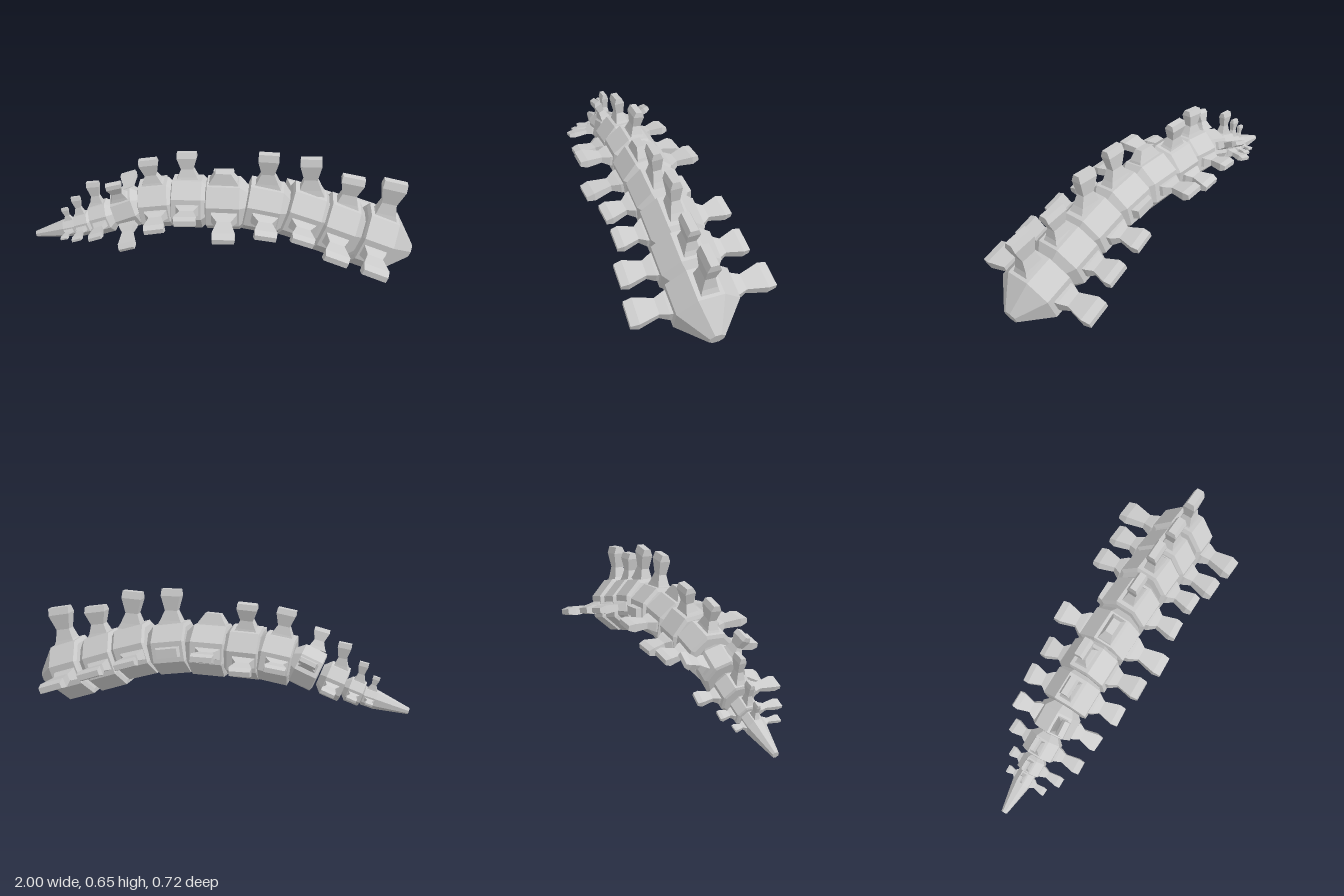
import * as THREE from 'three';

const material = new THREE.MeshStandardMaterial({ color: 0xcccccc, flatShading: true });
const V = (x, y, z) => new THREE.Vector3(x, y, z);

// One entry per vertebra, from the blunt front end to the tail.
// c: centre, slope: axis angle in degrees, r: radius, h: half length,
// spine: tip of the upper blade, back / front: [x, z] of the side wing tips
const VERTEBRAE = [
  { c: [0.79, 0.175], slope: -20, r: 0.153, h: 0.077, spine: [0.88, 0.51, 0.01], back: [0.775, -0.36], front: [0.775, 0.35] },
  { c: [0.595, 0.24], slope: -20, r: 0.147, h: 0.077, spine: [0.67, 0.53, 0.015], back: [0.585, -0.31], front: [0.585, 0.33] },
  { c: [0.42, 0.31], slope: -18, r: 0.135, h: 0.083, spine: [0.452, 0.625, 0.015], back: [0.39, -0.30], front: [0.42, 0.29] },
  { c: [0.218, 0.342], slope: -10, r: 0.13, h: 0.084, spine: [0.243, 0.648, 0.03], back: [0.215, -0.16], front: [0.24, 0.29] },
  { c: [0.017, 0.35], slope: 0, r: 0.13, h: 0.084, spine: [0.015, 0.537, 0.025], back: [-0.005, -0.29], front: [0.035, 0.325] },
  { c: [-0.167, 0.352], slope: 1, r: 0.127, h: 0.075, spine: [-0.175, 0.615, -0.03], back: [-0.19, -0.26], front: [-0.155, 0.30] },
  { c: [-0.332, 0.335], slope: 8, r: 0.12, h: 0.074, spine: [-0.37, 0.59, 0.015], back: [-0.36, -0.25], front: [-0.31, 0.275] },
  { c: [-0.485, 0.295], slope: 22, r: 0.1, h: 0.057, spine: [-0.54, 0.48, 0.09], back: [-0.515, -0.21], front: [-0.46, 0.23] },
  { c: [-0.625, 0.237], slope: 19, r: 0.083, h: 0.047, spine: [-0.667, 0.442, 0], back: [-0.61, -0.19], front: [-0.62, 0.23] },
  { c: [-0.728, 0.193], slope: 18, r: 0.06, h: 0.036, spine: [-0.765, 0.35, 0], back: [-0.72, -0.13], front: [-0.73, 0.18] },
  { c: [-0.80, 0.167], slope: 15, r: 0.045, h: 0.032, spine: [-0.83, 0.28, 0], back: [-0.805, -0.10], front: [-0.81, 0.13] },
];

// Lofts rectangles from base to tip; rows are [fraction, half width along axis, half thickness]
function loft(name, base, tip, axis, rows) {
  const w = tip.clone().sub(base).normalize();
  const u = axis.clone().addScaledVector(w, -axis.dot(w)).normalize();
  const v = w.clone().cross(u);
  const pos = [], index = [];
  for (const [t, a, b] of rows) {
    for (const [i, j] of [[1, 1], [-1, 1], [-1, -1], [1, -1]]) {
      const p = base.clone().lerp(tip, t).addScaledVector(u, a * i).addScaledVector(v, b * j);
      pos.push(p.x, p.y, p.z);
    }
  }
  for (let r = 0; r < rows.length - 1; r++) {
    for (let j = 0; j < 4; j++) {
      const a = r * 4 + j, b = r * 4 + (j + 1) % 4;
      index.push(a, b, b + 4, a, b + 4, a + 4);
    }
  }
  const e = (rows.length - 1) * 4;
  index.push(e, e + 1, e + 2, e, e + 2, e + 3, 2, 1, 0, 3, 2, 0);
  const geo = new THREE.BufferGeometry();
  geo.setAttribute('position', new THREE.Float32BufferAttribute(pos, 3));
  geo.setIndex(index);
  geo.computeVertexNormals();
  const mesh = new THREE.Mesh(geo, material);
  mesh.name = name;
  return mesh;
}

// Eight-sided body with a tapered front; first and last entries get long cones
function bodyMesh({ c, slope, r, h }, roll, first, last) {
  const R = r / Math.cos(Math.PI / 8);
  const backEnd = last ? [0.016, -0.202] : [R * 0.85, -h - r * 0.05];
  const frontEnd = first ? [0.04, 0.209] : [R * 0.6, h + r * 0.42];
  const profile = [[0, backEnd[1]], backEnd, [R, -h], [R, h], frontEnd, [0, frontEnd[1]]]
    .map(([x, y]) => new THREE.Vector2(x, y));
  const geo = new THREE.LatheGeometry(profile, 8, Math.PI / 8);
  geo.rotateZ(-Math.PI / 2);
  geo.rotateX(roll);
  const mesh = new THREE.Mesh(geo, material);
  mesh.name = 'vertebraBody';
  mesh.position.set(c[0], c[1], 0);
  mesh.rotation.z = THREE.MathUtils.degToRad(slope);
  return mesh;
}

export function createModel() {
  const model = new THREE.Group();
  model.name = 'spineColumn';
  VERTEBRAE.forEach((d, i) => {
    const { c, r, h, spine } = d;
    const a = THREE.MathUtils.degToRad(d.slope);
    const axis = V(Math.cos(a), Math.sin(a), 0);
    // The sideways lean of the blade rolls the whole vertebra
    const lean = spine[2] / (spine[1] - c[1]);
    const group = new THREE.Group();
    group.name = 'vertebra' + (i + 1);
    group.add(bodyMesh(d, Math.atan(lean), i === 0, i === VERTEBRAE.length - 1));

    // Upper blade: flared, or a low stump on the middle vertebra
    const base = V(c[0] - Math.sin(a) * r * 0.9, c[1] + Math.cos(a) * r * 0.9, lean * r * 0.9);
    const bladeRows = i === 4
      ? [[0, h * 0.95, r * 0.32], [0.3, h * 0.85, r * 0.27], [1, h * 0.47, r * 0.16]]
      : [[0, h * 0.85, r * 0.3], [0.15, h * 0.66, r * 0.24], [0.42, r * 0.25, r * 0.16],
        [0.82, r * 0.4, r * 0.22], [1, r * 0.39, r * 0.13]];
    group.add(loft('upperBlade', base, V(...spine), axis, bladeRows));

    // Side wings: flat slabs with a narrow neck, or a stump where one is broken short
    for (const [name, [x, z]] of [['backWing', d.back], ['frontWing', d.front]]) {
      const rootZ = Math.sign(z) * r * 0.93;
      const root = V((c[0] + x) / 2, c[1] - lean * rootZ, rootZ);
      const wingRows = Math.abs(z) < r * 1.3
        ? [[0, h * 0.8, r * 0.22], [1, h * 0.65, r * 0.18]]
        : [[0, h * 0.8, r * 0.22], [0.12, h * 0.75, r * 0.2], [0.33, r * 0.27, r * 0.13],
          [0.8, r * 0.44, r * 0.17], [1, r * 0.41, r * 0.1]];
      group.add(loft(name, root, V(x, c[1] - lean * z, z), axis, wingRows));
    }
    model.add(group);
  });
  return model;
}
